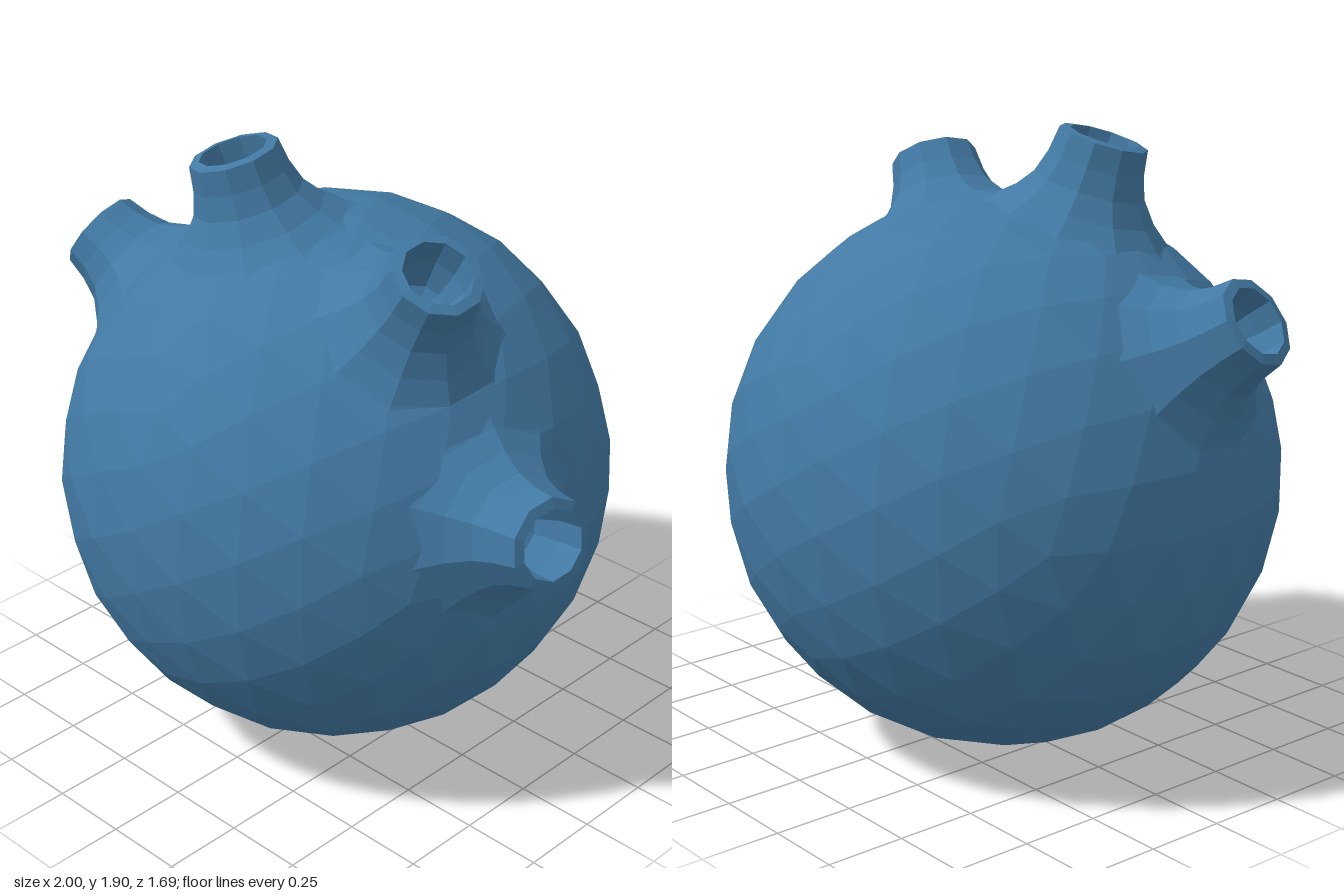
import * as THREE from 'three';

const CENTRE = new THREE.Vector3(-0.05, 0.847, 0);
const RADIUS = 0.85;

// Nozzle cross-section [radius, distance from the ball's centre]:
// flared skirt, neck, rim, then down into the blind bore
const NOZZLE_PROFILE = [
  [0.36, 0.75], [0.28, 0.8], [0.22, 0.85], [0.17, 0.915], [0.147, 0.985], [0.136, 1.06],
  [0.105, 1.066], [0.1, 0.98], [0.07, 0.9], [0, 0.87],
];

// Centres of the four nozzle mouths
const MOUTHS = [
  [-0.93, 1.44, 0.19],
  [-0.27, 1.87, 0.2],
  [0.53, 1.73, 0.19],
  [0.965, 1.055, 0.2],
];

export function createModel() {
  const group = new THREE.Group();
  group.name = 'nozzledBall';
  const material = new THREE.MeshStandardMaterial({
    color: 0x4279a3, flatShading: true, side: THREE.DoubleSide,
  });

  // Faceted ball
  const ball = new THREE.Mesh(new THREE.IcosahedronGeometry(RADIUS, 4), material);
  ball.name = 'ball';
  ball.position.copy(CENTRE);
  group.add(ball);

  // Hollow nozzles pointing straight out from the ball's centre
  const nozzleGeometry = new THREE.LatheGeometry(
    NOZZLE_PROFILE.map(([r, h]) => new THREE.Vector2(r, h)), 10);
  const up = new THREE.Vector3(0, 1, 0);
  MOUTHS.forEach((mouth, i) => {
    const direction = new THREE.Vector3(...mouth).sub(CENTRE).normalize();
    const nozzle = new THREE.Mesh(nozzleGeometry, material);
    nozzle.name = `nozzle${i + 1}`;
    nozzle.position.copy(CENTRE);
    nozzle.quaternion.setFromUnitVectors(up, direction);
    group.add(nozzle);
  });

  return group;
}
